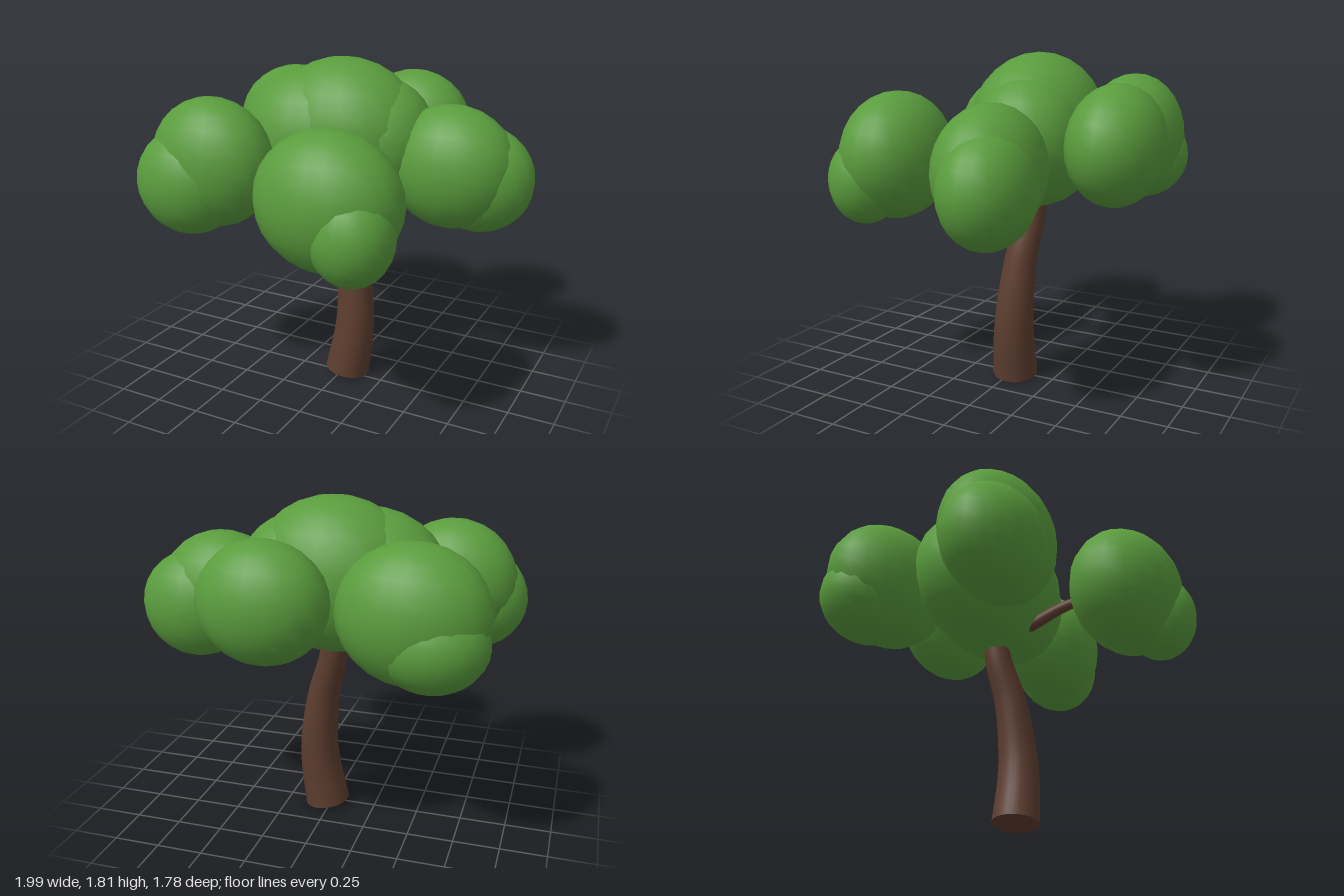
import * as THREE from 'three';

const bark = new THREE.MeshStandardMaterial({ color: 0x5e3e30 });
bark.name = 'bark brown';
const leaf = new THREE.MeshStandardMaterial({ color: 0x5a9c3d });
leaf.name = 'leaf green';

// Round limb along a curve, its radius shrinking from r0 to r1, closed at the start
function limb(name, points, r0, r1, rings, sides) {
  const curve = new THREE.CatmullRomCurve3(points.map(p => new THREE.Vector3(...p)));
  const geo = new THREE.TubeGeometry(curve, rings, 1, sides, false);
  const pos = geo.attributes.position;
  const v = new THREE.Vector3();
  for (let i = 0; i < pos.count; i++) {
    const t = Math.floor(i / (sides + 1)) / rings;
    const c = curve.getPointAt(t);
    v.fromBufferAttribute(pos, i).sub(c).multiplyScalar(r0 + (r1 - r0) * t).add(c);
    pos.setXYZ(i, v.x, v.y, v.z);
  }
  const group = new THREE.Group();
  group.name = name;
  const side = new THREE.Mesh(geo, bark);
  side.name = name + 'Side';
  const cap = new THREE.Mesh(new THREE.CircleGeometry(r0, sides), bark);
  cap.name = name + 'End';
  cap.position.copy(curve.getPointAt(0));
  cap.quaternion.setFromUnitVectors(new THREE.Vector3(0, 0, 1), curve.getTangentAt(0).negate());
  group.add(side, cap);
  return group;
}

// Each clump is a list of ellipsoids: centre x, y, z and radii x, y, z
const clumps = {
  crownCentre: [
    [-0.22, 1.37, -0.08, 0.42, 0.38, 0.33],
    [-0.05, 1.40, -0.13, 0.45, 0.41, 0.35],
    [0.15, 1.37, -0.16, 0.31, 0.34, 0.30],
  ],
  frontLeftClump: [
    [0.23, 1.25, 0.595, 0.38, 0.35, 0.285],
    [0.40, 1.13, 0.69, 0.21, 0.24, 0.20],
  ],
  frontRightClump: [
    [-0.59, 1.28, 0.355, 0.355, 0.35, 0.26],
    [-0.70, 1.18, 0.42, 0.30, 0.29, 0.24],
  ],
  backRightClump: [
    [-0.54, 1.33, -0.49, 0.38, 0.35, 0.275],
    [-0.64, 1.21, -0.53, 0.28, 0.24, 0.24],
  ],
  backLeftClump: [
    [0.15, 1.375, -0.65, 0.33, 0.305, 0.245],
  ],
  leftClump: [
    [0.56, 1.27, -0.17, 0.35, 0.33, 0.265],
    [0.69, 1.21, -0.23, 0.30, 0.29, 0.23],
  ],
};

export function createModel() {
  const tree = new THREE.Group();
  tree.name = 'tree';

  // Curved trunk
  tree.add(limb('trunk', [
    [0.025, 0.02, -0.025], [0.06, 0.25, -0.035], [0.065, 0.42, -0.045],
    [0.03, 0.7, -0.065], [-0.03, 0.93, -0.1], [-0.06, 1.2, -0.13],
  ], 0.126, 0.06, 32, 24));

  // Branch reaching to the front clump
  tree.add(limb('branch', [
    [-0.045, 1.05, -0.1], [0.02, 1.13, 0.1], [0.07, 1.2, 0.28], [0.13, 1.24, 0.46],
  ], 0.042, 0.025, 14, 12));

  // Foliage
  const ball = new THREE.SphereGeometry(1, 20, 14);
  for (const [name, lobes] of Object.entries(clumps)) {
    const clump = new THREE.Group();
    clump.name = name;
    lobes.forEach(([x, y, z, rx, ry, rz], i) => {
      const lobe = new THREE.Mesh(ball, leaf);
      lobe.name = 'leafLobe' + (i + 1);
      lobe.position.set(x, y, z);
      lobe.scale.set(rx, ry, rz);
      clump.add(lobe);
    });
    tree.add(clump);
  }
  return tree;
}
